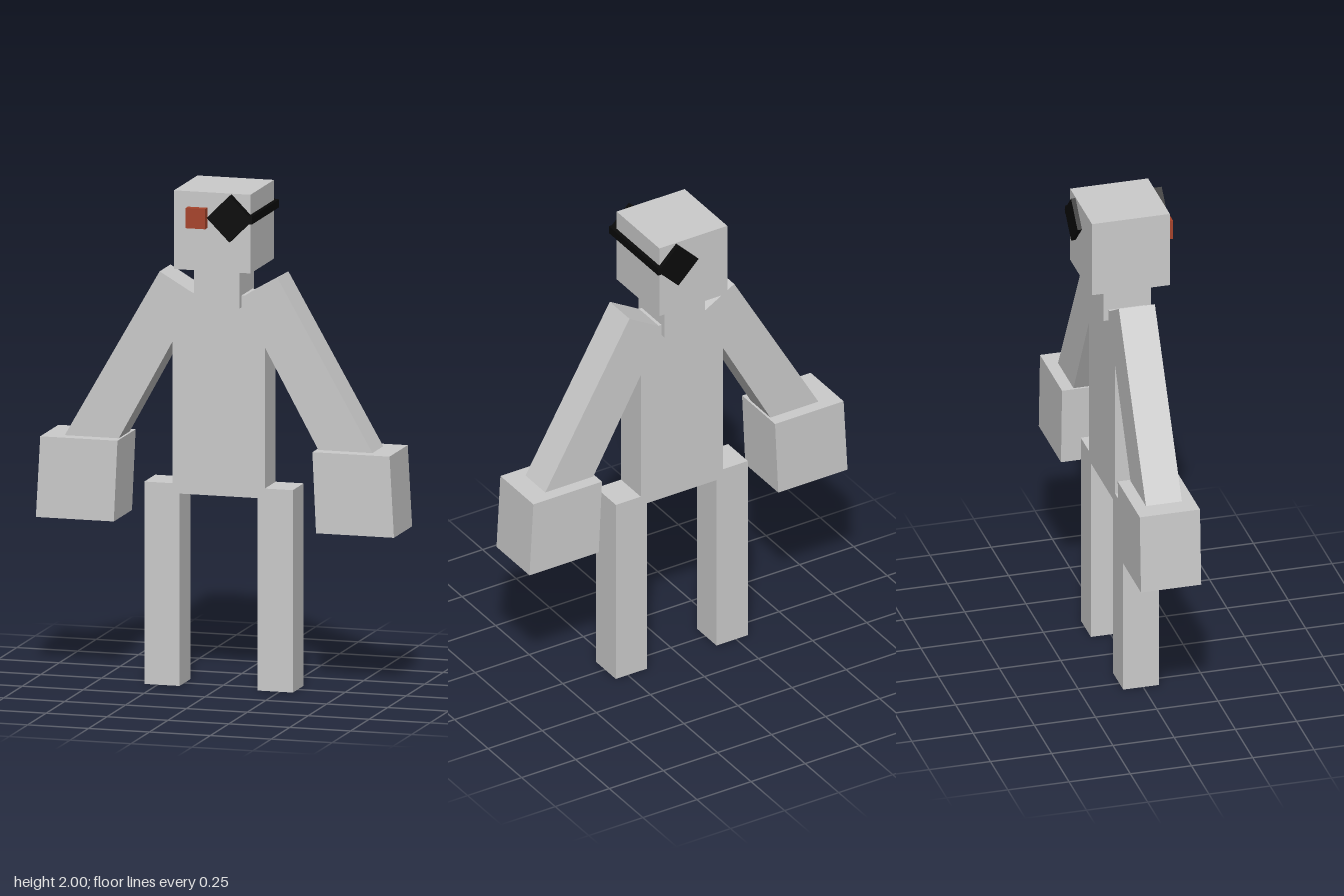
import * as THREE from 'three';

const grey = new THREE.MeshStandardMaterial({ color: 0xcccccc, flatShading: true });
const black = new THREE.MeshStandardMaterial({ color: 0x0a0a0a, flatShading: true });
const red = new THREE.MeshStandardMaterial({ color: 0xa8452c, flatShading: true });

const BACK = -0.008; // body centre line in z
const BODY_DEPTH = 0.147;

export function createModel() {
  const model = new THREE.Group();

  const add = (name, geometry, material) => {
    const mesh = new THREE.Mesh(geometry, material);
    mesh.name = name;
    model.add(mesh);
    return mesh;
  };

  // Box given by its extents on each axis
  const box = (name, [x0, x1], [y0, y1], [z0, z1], material = grey) =>
    add(name, new THREE.BoxGeometry(x1 - x0, y1 - y0, z1 - z0), material)
      .position.set((x0 + x1) / 2, (y0 + y1) / 2, (z0 + z1) / 2);

  // Front outline extruded through the body's depth, optionally mirrored
  const slab = (name, points, depth, side = 1) => {
    const shape = new THREE.Shape(points.map(([x, y]) => new THREE.Vector2(x * side, y)));
    const geometry = new THREE.ExtrudeGeometry(shape, { depth, bevelEnabled: false });
    geometry.translate(0, 0, BACK - depth / 2);
    add(name, geometry, grey);
  };

  // Head, neck and torso
  box('head', [-0.157, 0.157], [1.685, 2], [-0.167, 0.151]);
  box('neck', [-0.094, 0.094], [1.53, 1.685], [-0.102, 0.091]);
  box('torso', [-0.19, 0.19], [0.77, 1.577], [BACK - BODY_DEPTH / 2, BACK + BODY_DEPTH / 2]);

  // Limbs, mirrored
  for (const [label, side] of [['left', 1], ['right', -1]]) {
    slab(label + 'Arm', [[0.19, 1.375], [0.41, 0.976], [0.632, 0.976],
      [0.242, 1.655], [0.107, 1.577], [0.19, 1.577]], BODY_DEPTH, side);
    slab(label + 'Hand', [[0.415, 0.653], [0.735, 0.653], [0.717, 0.977], [0.4, 0.977]], 0.246, side);
    slab(label + 'Leg', [[0.16, 0], [0.305, 0], [0.305, 0.81],
      [0.19, 0.81], [0.19, 0.77], [0.16, 0.77]], BODY_DEPTH, side);
  }

  // Red eye
  box('eye', [-0.1, -0.02], [1.857, 1.938], [0.151, 0.18], red);

  // Diamond patch on the face, its twin behind the head, and the strap between
  for (const [name, z0, z1] of [['eyePatch', 0.151, 0.185], ['rearPatch', -0.185, -0.167]]) {
    const size = 0.093 * Math.SQRT2;
    const patch = add(name, new THREE.BoxGeometry(size, size, z1 - z0), black);
    patch.position.set(0.08, 1.904, (z0 + z1) / 2);
    patch.rotation.z = Math.PI / 4;
  }
  box('strap', [0.157, 0.173], [1.888, 1.92], [-0.184, 0.184], black);

  return model;
}
